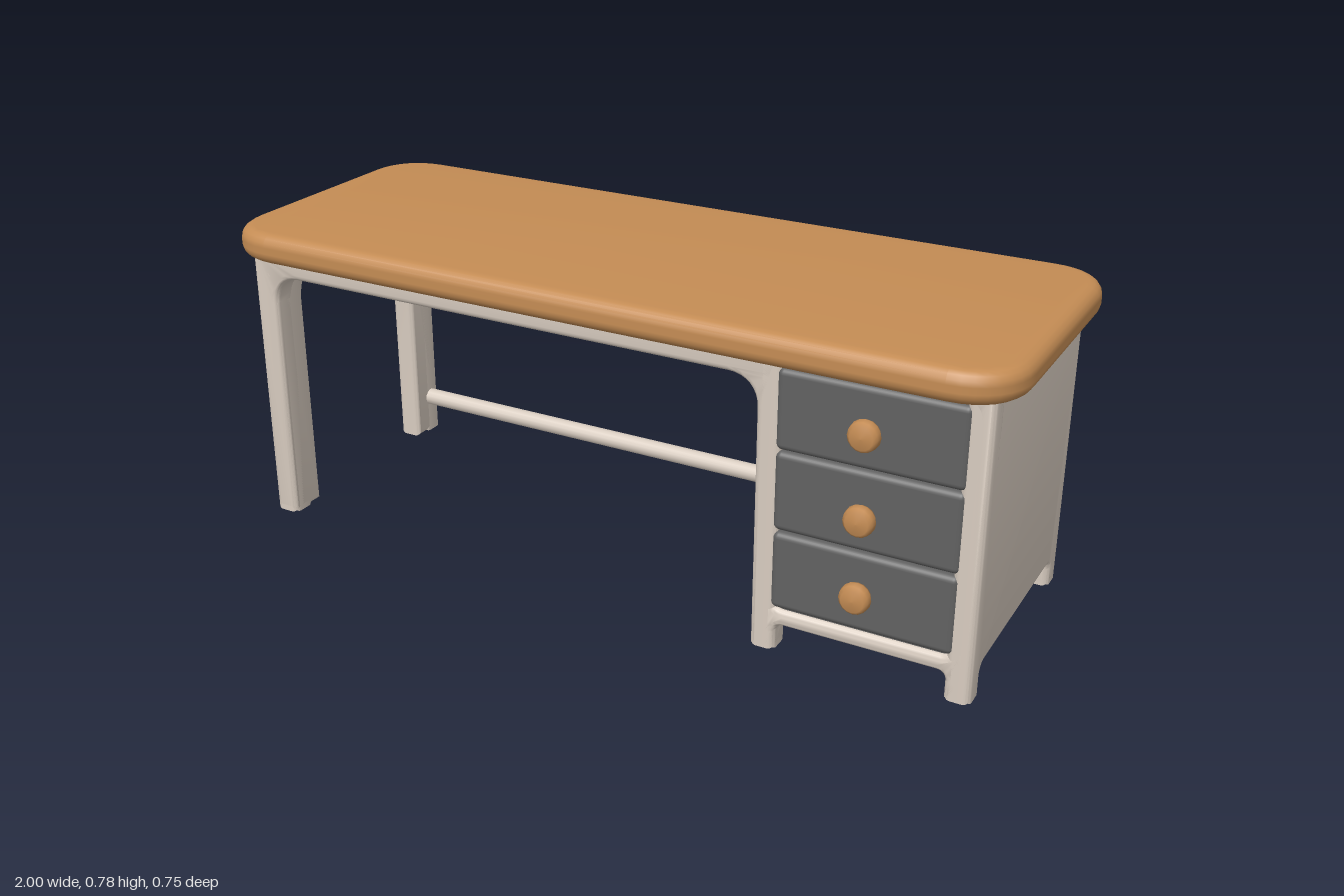
import * as THREE from 'three';
import { toCreasedNormals } from 'three/addons/utils/BufferGeometryUtils.js';
import { RoundedBoxGeometry } from 'three/addons/geometries/RoundedBoxGeometry.js';

const mat = (name, color) => Object.assign(new THREE.MeshStandardMaterial({ color }), { name });

export function createModel() {
  const wood = mat('wood', 0xc48c54);
  const cream = mat('creamPaint', 0xd8ccc0);
  const grey = mat('greyPaint', 0x616161);
  const desk = new THREE.Group();
  desk.name = 'desk';

  const add = (name, geometry, material, x = 0, y = 0, z = 0) => {
    const mesh = new THREE.Mesh(geometry, material);
    mesh.name = name;
    mesh.position.set(x, y, z);
    desk.add(mesh);
    return mesh;
  };

  // Outline whose points are [x, y, cornerRadius]
  const outline = (points, Type = THREE.Shape) => {
    const path = new Type();
    const v = points.map(([x, y]) => new THREE.Vector2(x, y));
    points.forEach(([, , r = 0], i) => {
      const p = v[i];
      const toward = (q) => p.clone().add(q.clone().sub(p).setLength(r));
      const a = r ? toward(v[(i + v.length - 1) % v.length]) : p;
      if (i) path.lineTo(a.x, a.y);
      else path.moveTo(a.x, a.y);
      if (r) {
        const b = toward(v[(i + 1) % v.length]);
        const c1 = a.clone().lerp(p, 0.6), c2 = b.clone().lerp(p, 0.6);
        path.bezierCurveTo(c1.x, c1.y, c2.x, c2.y, b.x, b.y);
      }
    });
    path.closePath();
    return path;
  };
  const rect = (x0, y0, x1, y1, r, Type) =>
    outline([[x0, y0, r], [x1, y0, r], [x1, y1, r], [x0, y1, r]], Type);

  // Soft-edged slab centred on its own thickness
  const slab = (shape, thickness, bevel) => {
    const g = new THREE.ExtrudeGeometry(shape, {
      depth: thickness - 2 * bevel, bevelThickness: bevel, bevelSize: bevel,
      bevelOffset: -bevel, bevelSegments: 4, curveSegments: 8,
    });
    g.translate(0, 0, bevel - thickness / 2);
    return toCreasedNormals(g, 0.7);
  };

  // Table top
  add('tableTop', slab(rect(-1, -0.375, 1, 0.375, 0.14), 0.075, 0.03), wood, 0, 0.7425, 0)
    .rotation.x = -Math.PI / 2;

  // Front and back frames: legs, knee opening and cabinet surround in one piece
  const longFrame = () => {
    const s = outline([
      [-0.95, 0], [-0.885, 0], [-0.885, 0.655, 0.07], [0.43, 0.655, 0.07], [0.43, 0],
      [0.49, 0], [0.49, 0.065, 0.02], [0.89, 0.065, 0.02], [0.89, 0],
      [0.95, 0], [0.95, 0.725], [-0.95, 0.725],
    ]);
    s.holes.push(rect(0.475, 0.105, 0.91, 0.695, 0.035, THREE.Path));
    return s;
  };
  add('frontFrame', slab(longFrame(), 0.065, 0.015), cream, 0, 0, 0.2875);
  add('backFrame', slab(longFrame(), 0.065, 0.015), cream, 0, 0, -0.2875);

  // Side frames: foot width, underside height and corner radius vary
  const sideFrame = (foot, under, r, open) => {
    const i = 0.32 - foot;
    const s = outline([
      [-0.32, 0], [-i, 0], [-i, under, r], [i, under, r], [i, 0],
      [0.32, 0], [0.32, 0.725], [-0.32, 0.725],
    ]);
    if (open) s.holes.push(rect(-0.265, 0.105, 0.265, 0.695, 0.035, THREE.Path));
    return s;
  };
  const turnSide = (mesh) => { mesh.rotation.y = Math.PI / 2; };
  turnSide(add('leftLegFrame', slab(sideFrame(0.1, 0.655, 0.09), 0.065, 0.015), cream, -0.9175));
  turnSide(add('cabinetInnerFrame', slab(sideFrame(0.065, 0.065, 0.02, true), 0.06, 0.015), cream, 0.46));
  turnSide(add('cabinetSidePanel', slab(sideFrame(0.065, 0.065, 0.02), 0.06, 0.015), cream, 0.92));

  // Rear foot rail
  add('footRail', new THREE.CylinderGeometry(0.023, 0.023, 1.34, 14), cream, -0.23, 0.103, -0.285)
    .rotation.z = Math.PI / 2;

  // Cabinet body behind the frames, and its wooden floor
  add('cabinetBody', new THREE.BoxGeometry(0.46, 0.6, 0.612), grey, 0.675, 0.4, 0);
  add('cabinetFloor', new THREE.BoxGeometry(0.45, 0.03, 0.56), wood, 0.69, 0.09, 0);

  // Drawers with round knobs
  const knob = new THREE.LatheGeometry([
    [0.017, 0], [0.018, 0.012], [0.031, 0.02], [0.036, 0.031], [0.034, 0.046], [0.026, 0.054], [0, 0.056],
  ].map(([r, h]) => new THREE.Vector2(r, h)), 16);
  [[0.207, 0.212], [0.402, 0.398], [0.595, 0.594]].forEach(([y, knobY], i) => {
    add('drawer' + (i + 1), new RoundedBoxGeometry(0.428, 0.19, 0.05, 3, 0.015), grey, 0.692, y, 0.299);
    add('knob' + (i + 1), knob, wood, 0.692, knobY, 0.32).rotation.x = Math.PI / 2;
  });

  return desk;
}
